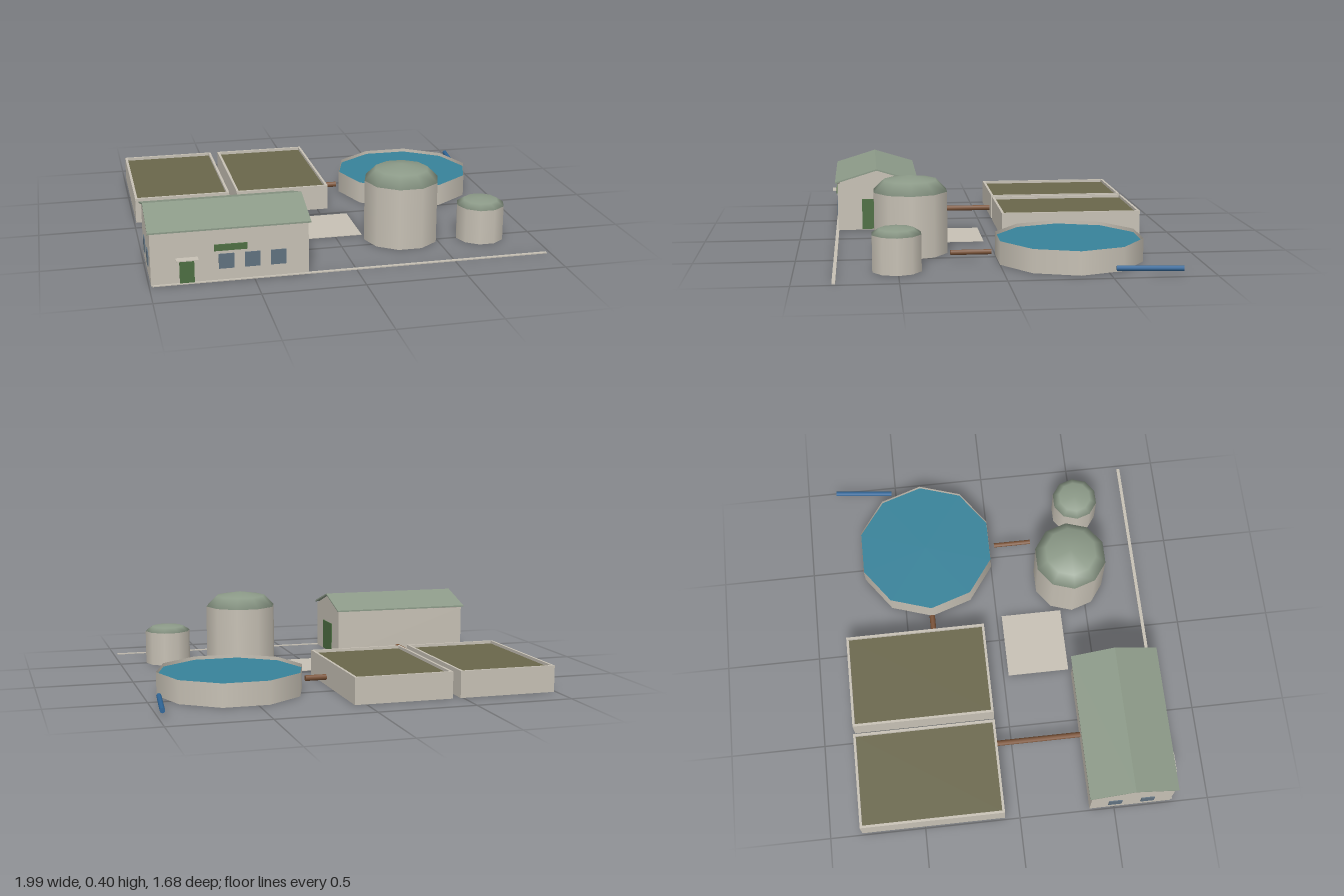
import * as THREE from 'three';

const mat = (name, color, side = THREE.FrontSide) => {
  const m = new THREE.MeshStandardMaterial({ color, side });
  m.name = name;
  return m;
};

export function createModel() {
  const model = new THREE.Group();
  model.name = 'waterTreatmentPlant';

  const concrete = mat('concrete', 0xc6c0b4, THREE.DoubleSide);
  const roofGreen = mat('roofGreen', 0x8c9a88, THREE.DoubleSide);
  const sludge = mat('sludge', 0x69664a, THREE.DoubleSide);
  const water = mat('water', 0x378299, THREE.DoubleSide);
  const brown = mat('brownPipe', 0x7a5236);
  const blue = mat('bluePipe', 0x2f6698);
  const green = mat('doorGreen', 0x4d6e42);
  const glass = mat('windowGlass', 0x60717f);

  const add = (name, geo, material, x = 0, y = 0, z = 0, parent = model) => {
    const mesh = new THREE.Mesh(geo, material);
    mesh.name = name;
    mesh.position.set(x, y, z);
    parent.add(mesh);
    return mesh;
  };
  // Box given by its minimum and maximum corners
  const box = (name, material, x0, x1, y0, y1, z0, z1, parent = model) =>
    add(name, new THREE.BoxGeometry(x1 - x0, y1 - y0, z1 - z0), material,
      (x0 + x1) / 2, (y0 + y1) / 2, (z0 + z1) / 2, parent);
  const polygon = pts => new THREE.Shape(pts.map(p => new THREE.Vector2(...p)));

  // Control building: open-bottomed walls and gables
  const house = new THREE.Group();
  house.name = 'controlBuilding';
  model.add(house);
  const X0 = -0.99, X1 = -0.235, MID = 0.585, HALF = 0.215, EAVE = 0.258;
  for (const s of [1, -1]) {
    const wall = add(s > 0 ? 'frontWall' : 'backWall', new THREE.PlaneGeometry(X1 - X0, EAVE),
      concrete, (X0 + X1) / 2, EAVE / 2, MID + s * HALF, house);
    if (s < 0) wall.rotation.y = Math.PI;
    const gable = add(s > 0 ? 'leftGable' : 'rightGable', new THREE.ShapeGeometry(polygon([
      [-HALF, 0], [HALF, 0], [HALF, EAVE], [0, 0.328], [-HALF, EAVE]])),
    concrete, s > 0 ? X1 : X0, 0, MID, house);
    gable.rotation.y = s * Math.PI / 2;
  }

  // Pitched roof slab
  const roofGeo = new THREE.ExtrudeGeometry(polygon([
    [-0.229, 0.262], [0, 0.332], [0.229, 0.262], [0.229, 0.27], [0, 0.34], [-0.229, 0.27]]),
  { depth: 0.775, bevelEnabled: false });
  roofGeo.rotateY(Math.PI / 2);
  add('roof', roofGeo, roofGreen, -1, 0, MID, house);

  // Doors, windows, sign board and awning
  box('frontDoor', green, -0.855, -0.785, 0, 0.117, 0.8, 0.806, house);
  box('doorAwning', concrete, -0.872, -0.768, 0.126, 0.131, 0.8, 0.84, house);
  box('signBoard', green, -0.69, -0.532, 0.155, 0.186, 0.804, 0.812, house);
  for (const x of [-0.632, -0.507, -0.382])
    box('frontWindow', glass, x - 0.037, x + 0.037, 0.062, 0.136, 0.8, 0.805, house);
  for (const z of [0.5, 0.67])
    box('sideWindow', glass, X0 - 0.005, X0, 0.062, 0.136, z - 0.035, z + 0.035, house);
  box('sideDoor', green, X1, X1 + 0.006, 0.005, 0.172, 0.505, 0.667, house);

  // Ground strip along the front and paved pad
  box('frontKerb', concrete, -0.985, 0.98, 0, 0.005, 0.795, 0.812);
  box('pavedPad', concrete, -0.21, 0.14, 0, 0.003, 0.028, 0.358);

  // Rectangular sludge basins
  const rect = (hw, hd) => [[-hw, -hd], [hw, -hd], [hw, hd], [-hw, hd]];
  for (const x of [-0.738, -0.193]) {
    const frame = polygon(rect(0.252, 0.377));
    frame.holes.push(polygon(rect(0.239, 0.364)));
    const frameGeo = new THREE.ExtrudeGeometry(frame, { depth: 0.135, bevelEnabled: false });
    frameGeo.rotateX(-Math.PI / 2);
    add('basinWall', frameGeo, concrete, x, 0, -0.456);
    box('basinSludge', sludge, x - 0.239, x + 0.239, 0.115, 0.12, -0.82, -0.092);
  }

  // Ten-sided tanks, with corners on the x axis
  const TURN = Math.PI / 10;
  const shell = (name, x, z, r, h) =>
    add(name, new THREE.CylinderGeometry(r, r, h, 10, 1, true, TURN), concrete, x, h / 2, z);

  // Clarifier
  shell('clarifierWall', 0.56, -0.356, 0.374, 0.118);
  const surface = new THREE.CircleGeometry(0.373, 10);
  surface.rotateX(-Math.PI / 2);
  add('clarifierWater', surface, water, 0.56, 0.1, -0.356);

  // Domed digesters: x, z, radius, body height, dome height
  for (const [x, z, r, h, d] of [[0.33, 0.422, 0.194, 0.317, 0.079], [0.731, 0.505, 0.124, 0.18, 0.034]]) {
    shell('digesterBody', x, z, r, h);
    const dome = new THREE.SphereGeometry(r, 10, 2, 0, Math.PI * 2, 0, Math.PI / 2);
    dome.scale(1, d / r, 1);
    add('digesterDome', dome, roofGreen, x, h, z);
  }

  // Straight pipes between two points
  const pipe = (name, material, a, b, r) => {
    const from = new THREE.Vector3(...a), to = new THREE.Vector3(...b);
    const dir = to.clone().sub(from);
    const mesh = add(name, new THREE.CylinderGeometry(r, r, dir.length(), 8), material);
    mesh.position.copy(from).lerp(to, 0.5);
    mesh.quaternion.setFromUnitVectors(new THREE.Vector3(0, 1, 0), dir.normalize());
  };
  pipe('buildingPipe', brown, [-0.595, 0.043, -0.08], [-0.595, 0.043, 0.37], 0.015);
  pipe('basinPipe', brown, [0.055, 0.043, -0.357], [0.17, 0.043, -0.357], 0.015);
  pipe('digesterPipe', brown, [0.558, 0.04, 0.03], [0.558, 0.04, 0.235], 0.013);
  pipe('outflowPipe', blue, [0.982, 0.036, -0.838], [0.948, 0.036, -0.523], 0.013);

  return model;
}
